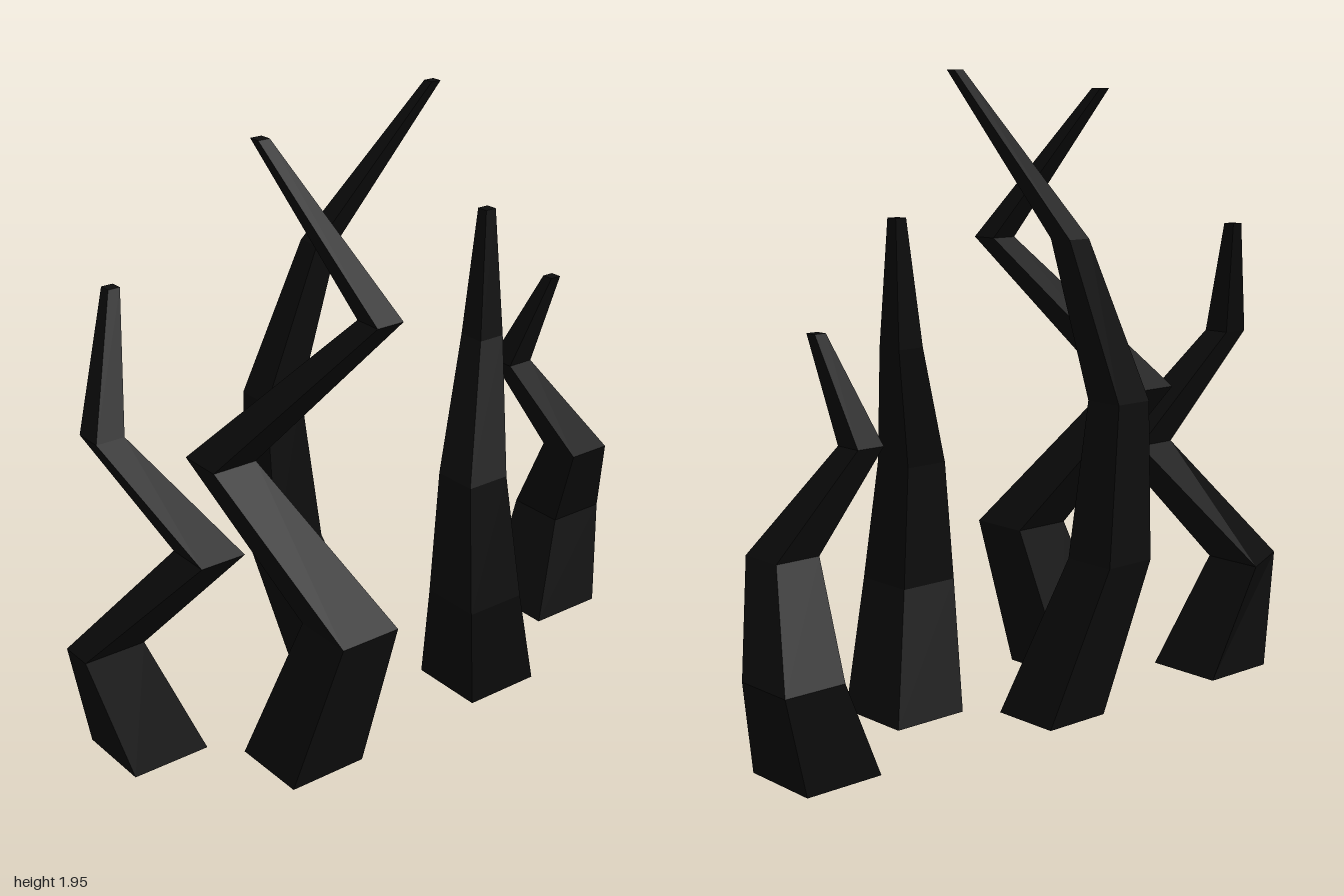
import * as THREE from 'three';

// Half-widths of the five square cross-sections, root to tip
const HALF = [0.128, 0.1, 0.073, 0.045, 0.019];
// Corner directions, counter-clockwise seen from above
const CORNERS = [[-1, 1], [1, 1], [1, -1], [-1, -1]];

// Each spike: height, thickness scale and [x, z] centre of every evenly spaced ring
const SPIKES = [
  { name: 'farRightSpike', height: 1.475, scale: 1, notch: 0.09,
    path: [[-0.795, -0.183], [-0.9, -0.27], [-0.705, 0.065], [-0.93, -0.105], [-0.795, -0.245]] },
  { name: 'rightSpike', height: 1.9, scale: 1,
    path: [[-0.462, 0.163], [-0.37, 0.285], [-0.575, -0.057], [-0.29, 0.33], [-0.46, 0.022]] },
  { name: 'middleSpike', height: 1.953, scale: 0.88,
    path: [[-0.062, -0.187], [-0.195, -0.298], [-0.213, -0.312], [-0.075, -0.24], [0.187, -0.03]] },
  { name: 'leftSpike', height: 1.535, scale: 1,
    path: [[0.26, 0.136], [0.155, 0.238], [0.18, 0.19], [0.33, 0.05], [0.383, 0]] },
  { name: 'farLeftSpike', height: 1.235, scale: 1,
    path: [[0.778, -0.112], [0.898, -0.175], [0.81, -0.01], [0.64, -0.152], [0.704, -0.04]] },
];

// Lofts square rings along the path, closed at both ends, with separate faces for a faceted look
function spikeGeometry({ height, scale, path, notch = 0 }) {
  const rings = path.map(([x, z], level) => CORNERS.map(([cx, cz], k) => {
    const h = HALF[level] * scale;
    const cut = level === 1 && k === 3 ? notch : 0; // clipped corner on the first bend
    return [x + cx * h, (height * level) / (path.length - 1), z + cz * h + cut];
  }));
  const positions = [];
  const quad = (a, b, c, d) => [a, b, c, a, c, d].forEach((p) => positions.push(...p));
  for (let level = 0; level < rings.length - 1; level++) {
    const low = rings[level], up = rings[level + 1];
    for (let k = 0; k < 4; k++) {
      const n = (k + 1) % 4;
      quad(low[k], low[n], up[n], up[k]);
    }
  }
  quad(...rings[rings.length - 1]);
  quad(...[...rings[0]].reverse());
  const geometry = new THREE.BufferGeometry();
  geometry.setAttribute('position', new THREE.Float32BufferAttribute(positions, 3));
  geometry.computeVertexNormals();
  return geometry;
}

export function createModel() {
  const group = new THREE.Group();
  group.name = 'crookedSpikes';
  const black = new THREE.MeshStandardMaterial({ color: 0x0d0d0d });
  black.name = 'black';
  for (const spike of SPIKES) {
    const mesh = new THREE.Mesh(spikeGeometry(spike), black);
    mesh.name = spike.name;
    group.add(mesh);
  }
  return group;
}
